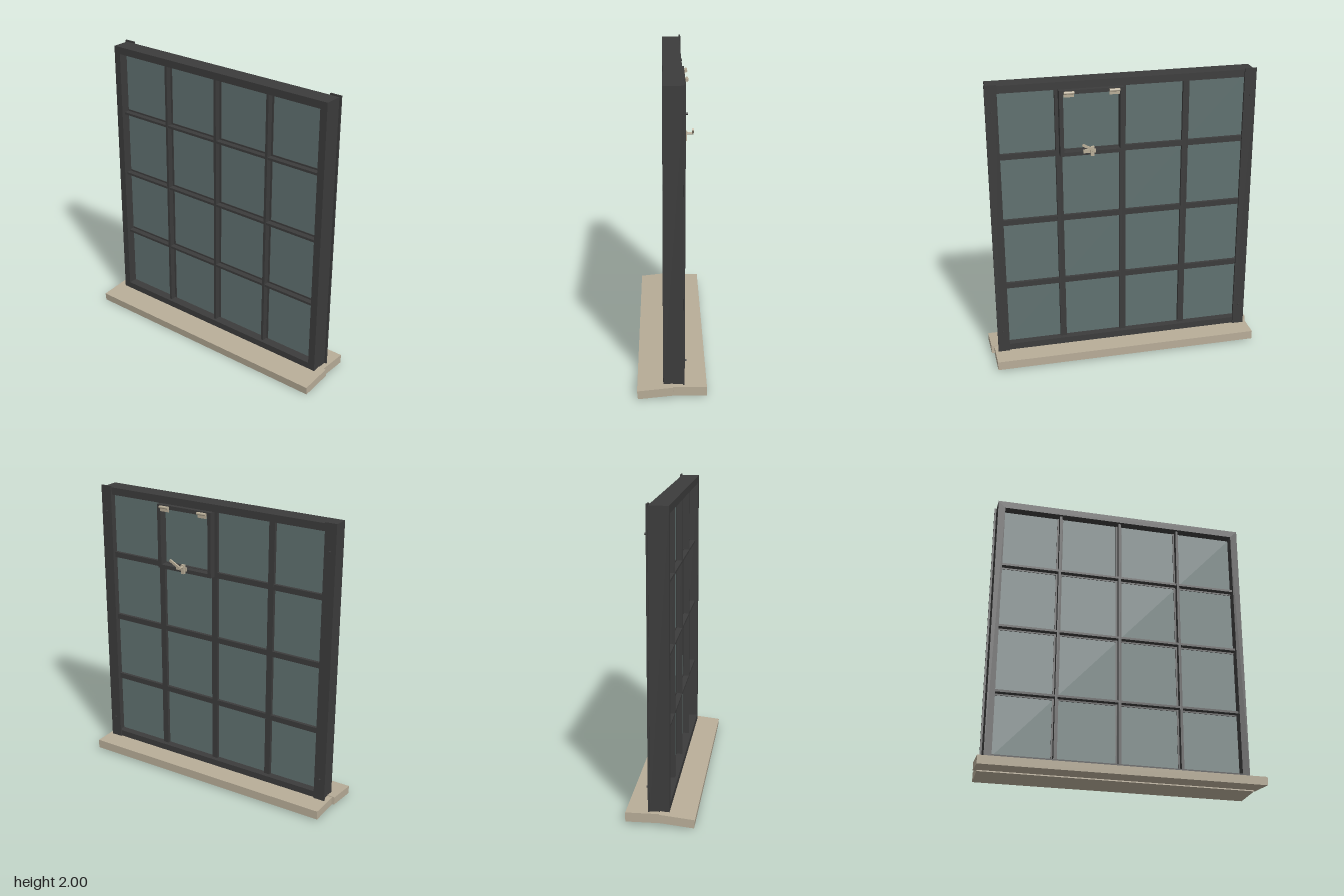
import * as THREE from 'three';

const steel = new THREE.MeshStandardMaterial({ color: 0x3c3c3c });
steel.name = 'dark steel';
const pane = new THREE.MeshStandardMaterial({ color: 0x607170 });
pane.name = 'grey green glass';
const stone = new THREE.MeshStandardMaterial({ color: 0xb8ad98 });
stone.name = 'sill stone';
const brass = new THREE.MeshStandardMaterial({ color: 0xb9ae98 });
brass.name = 'pale metal';

// Box given by its limits on each axis
function box(parent, name, material, [x0, x1], [y0, y1], [z0, z1]) {
  const mesh = new THREE.Mesh(new THREE.BoxGeometry(x1 - x0, y1 - y0, z1 - z0), material);
  mesh.position.set((x0 + x1) / 2, (y0 + y1) / 2, (z0 + z1) / 2);
  mesh.name = name;
  parent.add(mesh);
  return mesh;
}

// Round bar between two points
function rod(parent, name, material, a, b, radius) {
  const from = new THREE.Vector3(...a), to = new THREE.Vector3(...b);
  const dir = to.clone().sub(from);
  const mesh = new THREE.Mesh(new THREE.CylinderGeometry(radius, radius, dir.length(), 12), material);
  mesh.position.copy(from).add(to).multiplyScalar(0.5);
  mesh.quaternion.setFromUnitVectors(new THREE.Vector3(0, 1, 0), dir.normalize());
  mesh.name = name;
  parent.add(mesh);
  return mesh;
}

function group(parent, name) {
  const g = new THREE.Group();
  g.name = name;
  parent.add(g);
  return g;
}

export function createModel() {
  const model = new THREE.Group();
  model.name = 'window';

  // Outer sill slopes down to the front, inner sill lies level
  const profile = new THREE.Shape([[-0.22, 0.055], [-0.215, 0], [0.01, 0.025], [0.005, 0.08]]
    .map(([x, y]) => new THREE.Vector2(x, y)));
  const outerSill = new THREE.Mesh(
    new THREE.ExtrudeGeometry(profile, { depth: 1.88, bevelEnabled: false }), stone);
  outerSill.rotation.y = Math.PI / 2;
  outerSill.position.x = -0.94;
  outerSill.name = 'outerSill';
  model.add(outerSill);
  box(model, 'innerSill', stone, [-0.92, 0.92], [0.014, 0.075], [-0.22, 0.02]);

  // Main frame with an open middle
  const outline = new THREE.Shape([[-0.885, 0.075], [0.885, 0.075], [0.885, 1.99], [-0.885, 1.99]]
    .map(([x, y]) => new THREE.Vector2(x, y)));
  outline.holes.push(new THREE.Path([[-0.835, 0.12], [-0.835, 1.94], [0.835, 1.94], [0.835, 0.12]]
    .map(([x, y]) => new THREE.Vector2(x, y))));
  const frame = new THREE.Mesh(
    new THREE.ExtrudeGeometry(outline, { depth: 0.125, bevelEnabled: false }), steel);
  frame.position.z = -0.07;
  frame.name = 'frame';
  model.add(frame);

  // Fixing straps with bolts at the back of both jambs
  const straps = group(model, 'fixingStraps');
  for (const s of [-1, 1]) {
    const x = s * 0.858;
    box(straps, 'strap', steel, [x - 0.04, x + 0.04], [0.075, 2], [-0.08, -0.069]);
    for (const y of [0.23, 1.82]) rod(straps, 'bolt', steel, [x, y, -0.078], [x, y, -0.093], 0.007);
  }

  // Glass
  box(model, 'glass', pane, [-0.84, 0.84], [0.115, 1.945], [-0.017, -0.009]);

  // Glazing bars: T section with the web outside and the flange inside
  const bars = group(model, 'glazingBars');
  const web = [-0.012, 0.035], flange = [-0.04, -0.004];
  for (const x of [-0.43, 0, 0.427]) {
    box(bars, 'verticalWeb', steel, [x - 0.009, x + 0.009], [0.12, 1.94], web);
    box(bars, 'verticalFlange', steel, [x - 0.021, x + 0.021], [0.12, 1.94], flange);
  }
  for (const y of [0.562, 1.033, 1.5]) {
    box(bars, 'horizontalWeb', steel, [-0.835, 0.835], [y - 0.008, y + 0.008], [-0.012, 0.033]);
    box(bars, 'horizontalFlange', steel, [-0.835, 0.835], [y - 0.019, y + 0.019], [-0.039, -0.005]);
  }

  // Opening vent sash on the inside
  const vent = group(model, 'vent');
  const depth = [-0.087, -0.035];
  box(vent, 'ventStile', steel, [0, 0.026], [1.49, 1.935], depth);
  box(vent, 'ventStile', steel, [0.4, 0.426], [1.49, 1.935], depth);
  box(vent, 'ventRail', steel, [0.026, 0.4], [1.49, 1.516], depth);
  box(vent, 'ventRail', steel, [0.026, 0.4], [1.909, 1.935], depth);

  // Hinges at the top of the vent
  for (const x of [0.065, 0.363]) {
    const hinge = group(vent, 'hinge');
    box(hinge, 'hingeLeaf', brass, [x - 0.034, x + 0.034], [1.892, 1.926], [-0.093, -0.086]);
    rod(hinge, 'hingeKnuckle', brass, [x - 0.034, 1.922, -0.098], [x + 0.034, 1.922, -0.098], 0.01);
  }

  // Handle: plate, spindle and raised lever
  const handle = group(vent, 'handle');
  box(handle, 'handlePlate', brass, [0.19, 0.275], [1.505, 1.53], [-0.094, -0.086]);
  box(handle, 'handleBody', brass, [0.203, 0.227], [1.487, 1.55], [-0.106, -0.086]);
  rod(handle, 'handleSpindle', brass, [0.215, 1.535, -0.1], [0.215, 1.535, -0.148], 0.008);
  const lever = box(handle, 'handleLever', brass, [0.205, 0.295], [1.552, 1.568], [-0.148, -0.136]);
  lever.rotation.z = 0.5;

  return model;
}
